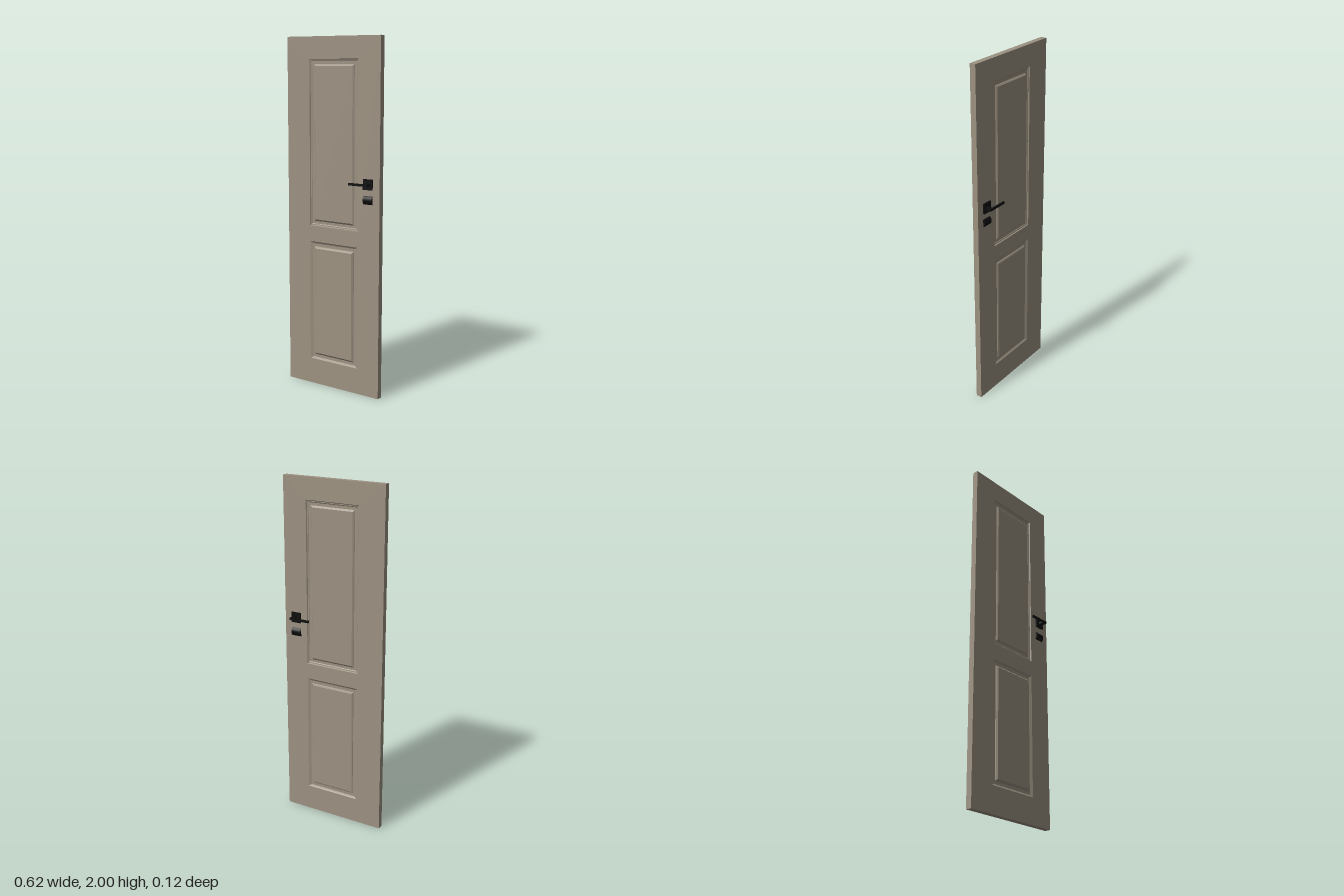
import * as THREE from 'three';

const FRONT = 0.016, BACK = -0.018;
const X0 = -0.157, X1 = 0.168;

// Ring steps: [inset in x, inset in y, height relative to the door face]
const upperSteps = [[0, 0, 0], [0.004, 0.004, -0.006], [0.009, 0.009, -0.006], [0.013, 0.013, -0.009],
  [0.028, 0.028, -0.009], [0.031, 0.031, -0.006], [0.038, 0.038, -0.001]];
const lowerSteps = (field) => [[0, 0, 0], [0.008, 0.004, -0.004], [0.016, 0.011, -0.008],
  [0.028, 0.028, -0.008], [0.031, 0.031, -0.004], [0.039, 0.039, field]];

// Stepped rectangular moulding that ends in a flat field
function panelGeometry(y0, y1, steps, side) {
  const face = side > 0 ? FRONT : BACK;
  const rings = steps.map(([dx, dy, h]) => {
    const z = face + side * h;
    return [[X0 + dx, y0 + dy, z], [X1 - dx, y0 + dy, z], [X1 - dx, y1 - dy, z], [X0 + dx, y1 - dy, z]];
  });
  const pos = [];
  const quad = (a, b, c, d) => {
    const order = side > 0 ? [a, b, c, a, c, d] : [a, c, b, a, d, c];
    order.forEach((p) => pos.push(...p));
  };
  for (let r = 0; r < rings.length - 1; r++) {
    for (let i = 0; i < 4; i++) {
      const j = (i + 1) % 4;
      quad(rings[r][i], rings[r][j], rings[r + 1][j], rings[r + 1][i]);
    }
  }
  quad(...rings[rings.length - 1]);
  const g = new THREE.BufferGeometry();
  g.setAttribute('position', new THREE.Float32BufferAttribute(pos, 3));
  g.computeVertexNormals();
  return g;
}

function rectangle(Kind, x0, y0, x1, y1) {
  const s = new Kind();
  s.moveTo(x0, y0);
  s.lineTo(x1, y0);
  s.lineTo(x1, y1);
  s.lineTo(x0, y1);
  s.closePath();
  return s;
}

export function createModel() {
  const door = new THREE.Group();
  door.name = 'door';
  const paint = new THREE.MeshStandardMaterial({ color: 0x9d9282 });
  paint.name = 'taupe paint';
  const black = new THREE.MeshStandardMaterial({ color: 0x0d0d0d });
  black.name = 'black metal';

  const add = (parent, name, geometry, material) => {
    const m = new THREE.Mesh(geometry, material);
    m.name = name;
    parent.add(m);
    return m;
  };
  // Box given by its limits on each axis
  const addBox = (parent, name, x0, x1, y0, y1, z0, z1) => {
    const m = add(parent, name, new THREE.BoxGeometry(x1 - x0, y1 - y0, z1 - z0), black);
    m.position.set((x0 + x1) / 2, (y0 + y1) / 2, (z0 + z1) / 2);
  };

  // Slab with openings for the two panels
  const openings = [[0.942, 1.878], [0.15, 0.85]];
  const outline = rectangle(THREE.Shape, -0.31, 0, 0.31, 2);
  openings.forEach(([y0, y1]) => outline.holes.push(rectangle(THREE.Path, X0, y0, X1, y1)));
  const slab = new THREE.ExtrudeGeometry(outline, { depth: FRONT - BACK, bevelEnabled: false });
  slab.translate(0, 0, BACK);
  add(door, 'slab', slab, paint);

  // Moulded panels on both faces
  for (const side of [1, -1]) {
    const label = side > 0 ? 'front' : 'back';
    add(door, label + 'UpperPanel', panelGeometry(...openings[0], upperSteps, side), paint);
    add(door, label + 'LowerPanel', panelGeometry(...openings[1], lowerSteps(side > 0 ? 0.003 : -0.001), side), paint);
  }

  // Square handle plate and round lock barrel pass through the slab
  const hardware = new THREE.Group();
  hardware.name = 'hardware';
  door.add(hardware);
  addBox(hardware, 'handlePlate', 0.208, 0.266, 1.179, 1.237, -0.028, 0.026);
  const lock = new THREE.CylinderGeometry(0.029, 0.029, 0.058, 32);
  lock.rotateZ(Math.PI / 2);
  add(hardware, 'lockBarrel', lock, black).position.set(0.237, 1.121, -0.001);

  // Lever handle on each face
  for (const side of [1, -1]) {
    const handle = new THREE.Group();
    handle.name = side > 0 ? 'frontHandle' : 'backHandle';
    hardware.add(handle);
    const z = (a, b) => (side > 0 ? [a - 0.001, b - 0.001] : [-b - 0.001, -a - 0.001]);
    addBox(handle, 'stem', 0.232, 0.257, 1.201, 1.214, ...z(0.02, 0.061));
    addBox(handle, 'lever', 0.133, 0.232, 1.201, 1.214, ...z(0.053, 0.061));
  }
  return door;
}
